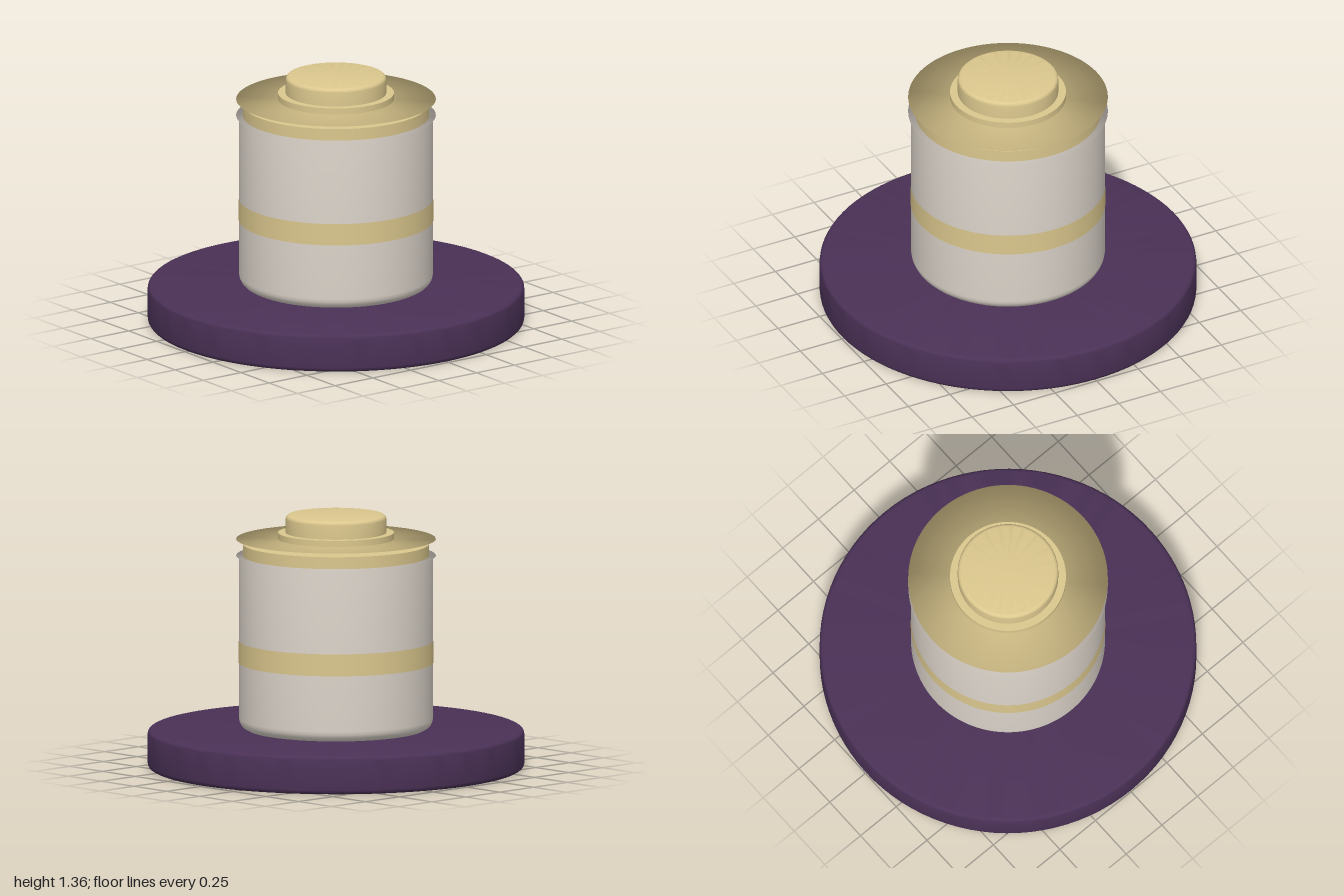
import * as THREE from 'three';
import { toCreasedNormals } from 'three/addons/utils/BufferGeometryUtils.js';

const SEGMENTS = 96;

function material(name, color) {
  const m = new THREE.MeshStandardMaterial({ color });
  m.name = name;
  return m;
}

// Surface of revolution from [radius, height] pairs, listed bottom to top
function lathe(profile, crease) {
  const g = new THREE.LatheGeometry(profile.map(([r, y]) => new THREE.Vector2(r, y)), SEGMENTS);
  return crease ? toCreasedNormals(g, crease) : g;
}

// Solid disc with quarter-round edges of the given radii
function roundedDisc(radius, y0, y1, bottomRound, topRound) {
  const p = [[0, y0]];
  const arc = (cy, round, from) => {
    for (let i = 0; i <= 5; i++) {
      const a = from + (i / 5) * Math.PI / 2;
      p.push([radius - round + Math.cos(a) * round, cy + Math.sin(a) * round]);
    }
  };
  if (bottomRound) arc(y0 + bottomRound, bottomRound, -Math.PI / 2);
  else p.push([radius, y0]);
  if (topRound) arc(y1 - topRound, topRound, 0);
  else p.push([radius, y1]);
  p.push([0, y1]);
  return lathe(p, 0.6);
}

export function createModel() {
  const purple = material('dark purple', 0x4a3156);
  const ivory = material('ivory', 0xe0d8ce);
  const gold = material('pale gold', 0xdcc88e);

  const model = new THREE.Group();
  model.name = 'lidded jar on a plinth';
  const add = (name, geometry, mat) => {
    const mesh = new THREE.Mesh(geometry, mat);
    mesh.name = name;
    model.add(mesh);
  };

  // Plinth and jar
  add('base', roundedDisc(1, 0, 0.205, 0.025, 0.025), purple);
  add('body', roundedDisc(0.515, 0.205, 1.135, 0.06, 0), ivory);
  add('bodyLip', lathe([[0, 1.125], [0.53, 1.136], [0, 1.14]]), ivory);

  // Painted band, just proud of the jar wall
  const band = new THREE.CylinderGeometry(0.518, 0.518, 0.118, SEGMENTS, 1, true);
  band.translate(0, 0.623, 0);
  add('band', band, gold);

  // Lid: collar, thin lens-shaped brim, step and knob
  add('lidCollar', roundedDisc(0.495, 1.135, 1.2, 0, 0), gold);
  add('lidBrim', lathe([[0, 1.2], [0.53, 1.225], [0, 1.23]]), gold);
  add('lidStep', roundedDisc(0.308, 1.217, 1.26, 0, 0), gold);
  add('lidKnob', roundedDisc(0.267, 1.25, 1.355, 0, 0.02), gold);

  return model;
}
